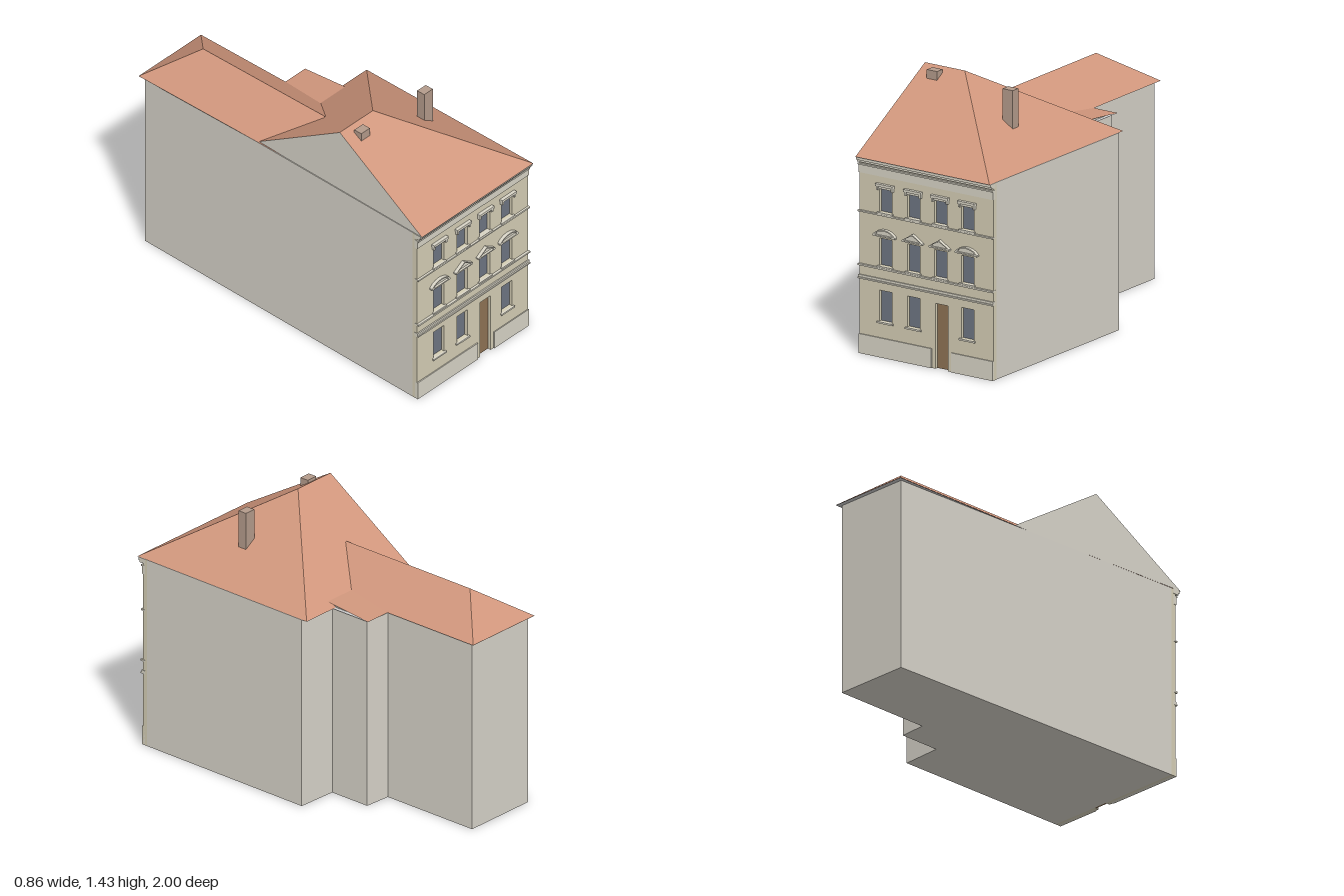
import * as THREE from 'three';

const mat = (color, side = THREE.FrontSide) => {
  const m = new THREE.MeshStandardMaterial({ color, side });
  m.flatShading = true;
  return m;
};
const WALL = mat(0xd8d4ca), FACADE = mat(0xd6cfb6), TRIM = mat(0xd9d5c7), GLASS = mat(0x6f7683);
const DOOR = mat(0x8f7355), BRICK = mat(0xb59c8c), SOFFIT = mat(0xcccccc, THREE.DoubleSide);
const ROOF = mat(0xd0967c, THREE.DoubleSide), GABLE = mat(0xd8d4ca, THREE.DoubleSide);

const FRONT = 0.965, EAVE = 1.065, LEFT = -0.43, RIGHT = 0.419;

export function createModel() {
  const model = new THREE.Group();
  const add = (parent, name, geometry, material) => {
    const mesh = new THREE.Mesh(geometry, material);
    mesh.name = name;
    parent.add(mesh);
    return mesh;
  };
  const group = (name) => {
    const g = new THREE.Group();
    g.name = name;
    model.add(g);
    return g;
  };
  // Box given by its extents
  const box = (parent, name, x0, x1, y0, y1, z0, z1, material) => {
    const g = new THREE.BoxGeometry(x1 - x0, y1 - y0, z1 - z0);
    g.translate((x0 + x1) / 2, (y0 + y1) / 2, (z0 + z1) / 2);
    return add(parent, name, g, material);
  };
  // Flat convex faces, each a counter-clockwise list of corners
  const faces = (parent, name, polygons, material) => {
    const pos = [];
    for (const p of polygons)
      for (let i = 1; i < p.length - 1; i++) pos.push(...p[0], ...p[i], ...p[i + 1]);
    const g = new THREE.BufferGeometry();
    g.setAttribute('position', new THREE.Float32BufferAttribute(pos, 3));
    g.computeVertexNormals();
    return add(parent, name, g, material);
  };
  const shapeOf = (pts) => new THREE.Shape(pts.map(([x, y]) => new THREE.Vector2(x, y)));
  const extrude = (shape, depth, z) =>
    new THREE.ExtrudeGeometry(shape, { depth, bevelEnabled: false, curveSegments: 12 }).translate(0, 0, z);
  const plan = (pts) => shapeOf(pts.map(([x, z]) => [x, -z]));

  // Body: stepped footprint raised to the eaves
  const body = extrude(plan([
    [LEFT, 0.936], [RIGHT, 0.936], [0.426, -0.135], [0.2, -0.145], [0.2, -0.385],
    [0.05, -0.395], [0.05, -0.975], [-0.385, -0.975],
  ]), EAVE - 0.002, 0).rotateX(-Math.PI / 2);
  add(model, 'walls', body, WALL);

  // Facade slab with window openings and a door notch
  const columns = [-0.263, -0.085, 0.086, 0.257];
  const floors = [[0.193, 0.36], [0.493, 0.641], [0.782, 0.907]];
  const doorX = [0.053, 0.133], doorTop = 0.352, halfW = 0.04;
  const openings = [];
  floors.forEach(([y0, y1], floor) => columns.forEach((x, col) => {
    if (floor > 0 || col !== 2) openings.push({ x, y0, y1, floor, col });
  }));
  const front = shapeOf([
    [LEFT, 0], [doorX[0], 0], [doorX[0], doorTop], [doorX[1], doorTop], [doorX[1], 0],
    [RIGHT, 0], [RIGHT, EAVE - 0.002], [LEFT, EAVE - 0.002],
  ]);
  for (const { x, y0, y1 } of openings)
    front.holes.push(shapeOf([[x - halfW, y0], [x - halfW, y1], [x + halfW, y1], [x + halfW, y0]]));
  add(model, 'facade', extrude(front, 0.03, FRONT - 0.03), FACADE);
  box(model, 'door', ...doorX, 0, doorTop, 0.93, 0.946, DOOR);

  // Windows with sills and the heads of each floor
  const windows = group('windows');
  for (const { x, y0, y1, floor, col } of openings) {
    box(windows, 'windowPane', x - halfW, x + halfW, y0, y1, 0.93, 0.946, GLASS);
    box(windows, 'windowSill', x - 0.05, x + 0.05, y0 - 0.009, y0, 0.95, 0.976, TRIM);
    if (floor === 2) {
      box(windows, 'windowHead', x - 0.047, x + 0.047, y1 + 0.002, y1 + 0.02, 0.96, 0.972, TRIM);
      box(windows, 'headCornice', x - 0.055, x + 0.055, y1 + 0.016, y1 + 0.03, 0.96, 0.984, TRIM);
      for (const s of [-1, 1])
        box(windows, 'headBracket', x + s * 0.046 - 0.006, x + s * 0.046 + 0.006, y1 - 0.004, y1 + 0.016, 0.96, 0.98, TRIM);
    } else if (floor === 1) {
      // Segmental pediments outside, triangular ones inside
      const arched = col === 0 || col === 3;
      const outline = (w, y, h) => {
        const s = new THREE.Shape();
        s.moveTo(x - w, y);
        s.lineTo(x + w, y);
        s.lineTo(x + w, y + 0.008);
        if (arched) s.bezierCurveTo(x + w * 0.55, y + h * 1.25, x - w * 0.55, y + h * 1.25, x - w, y + 0.008);
        else {
          s.lineTo(x, y + h);
          s.lineTo(x - w, y + 0.008);
        }
        return s;
      };
      const w = arched ? 0.07 : 0.064, h = arched ? 0.04 : 0.048;
      const frame = outline(w, 0.654, h);
      frame.holes.push(outline(w - 0.017, 0.661, h - 0.015));
      add(windows, 'pedimentFrame', extrude(frame, 0.024, 0.96), TRIM);
      add(windows, 'pedimentPanel', extrude(outline(w - 0.01, 0.657, h - 0.01), 0.012, 0.96), TRIM);
    }
  }

  // Plinth, string courses and main cornice: [y0, y1, projection]
  const bands = group('facadeBands');
  box(bands, 'plinthLeft', LEFT, 0.03, 0, 0.105, 0.95, FRONT + 0.006, TRIM);
  box(bands, 'plinthRight', 0.155, RIGHT, 0, 0.105, 0.95, FRONT + 0.006, TRIM);
  for (const [y0, y1, d] of [
    [0.405, 0.413, 0.014], [0.413, 0.425, 0.007], [0.476, 0.485, 0.014], [0.765, 0.773, 0.012],
    [0.975, 1.018, 0.005], [1.018, 1.026, 0.012], [1.036, 1.047, 0.02], [1.047, 1.063, 0.027],
  ]) box(bands, 'band', LEFT - 0.002, RIGHT + 0.002, y0, y1, 0.95, FRONT + d, TRIM);

  // Main roof: one hipped end on the right, a gable on the left
  const FL = [-0.43, EAVE, 1], FR = [0.42, EAVE, 1], BR = [0.427, EAVE, -0.17], BL = [-0.4, EAVE, -0.17];
  const ridgeL = [-0.412, 1.43, 0.41], ridgeR = [-0.16, 1.43, 0.41];
  faces(model, 'mainRoof', [[FL, FR, ridgeR, ridgeL], [FR, BR, ridgeR], [BR, BL, ridgeL, ridgeR]], ROOF);
  faces(model, 'gableWall', [[FL, ridgeL, BL]], GABLE);

  // Rear wing roof, hipped at the back and running into the main slope
  const wl = -0.405, wr = 0.07, zIn = 0.085;
  const hip = [-0.17, 1.23, -0.765], inner = [-0.17, 1.23, zIn];
  const wBL = [wl, EAVE, -1], wBR = [wr, EAVE, -1], wFL = [wl, EAVE, zIn], wFR = [wr, EAVE, zIn];
  faces(model, 'wingRoof', [[wFL, inner, hip, wBL], [wFR, wBR, hip, inner], [wBR, wBL, hip]], ROOF);

  // Low lean-to roof in the corner
  faces(model, 'cornerRoof', [
    [[0, 1.092, -0.13], [0.22, 1.092, -0.13], [0.22, EAVE, -0.41], [0, EAVE, -0.41]],
  ], ROOF);
  faces(model, 'cornerRoofWall', [[[0.2, EAVE, -0.14], [0.2, EAVE, -0.39], [0.2, 1.09, -0.14]]], GABLE);

  // Underside of the eaves
  const soffit = new THREE.ShapeGeometry(plan([
    [-0.43, 1], [0.42, 1], [0.427, -0.17], [0.22, -0.17], [0.22, -0.41], [wr, -0.41],
    [wr, -1], [wl, -1], [wl, zIn],
  ])).rotateX(-Math.PI / 2).translate(0, EAVE - 0.001, 0);
  add(model, 'soffit', soffit, SOFFIT);

  // Chimneys
  box(model, 'leftChimney', 0.14, 0.205, 1.19, 1.408, 0.445, 0.495, BRICK);
  box(model, 'rightChimney', -0.34, -0.275, 1.3, 1.425, 0.445, 0.495, BRICK);

  return model;
}
